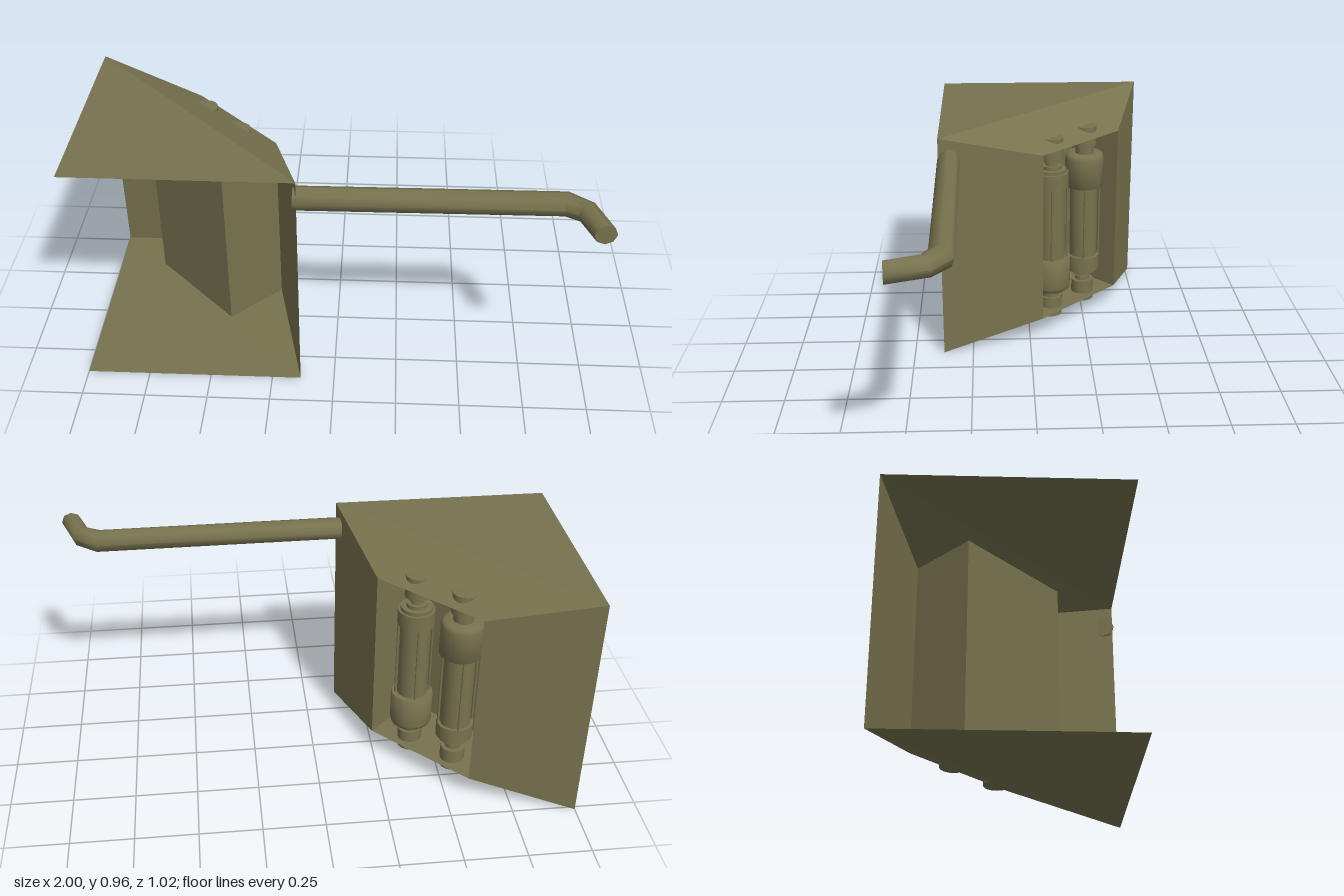
import * as THREE from 'three';
import { ParametricGeometry } from 'three/addons/geometries/ParametricGeometry.js';
import { toCreasedNormals } from 'three/addons/utils/BufferGeometryUtils.js';

const olive = new THREE.MeshStandardMaterial({ color: 0x77734f, side: THREE.DoubleSide });

function add(parent, name, geometry) {
  const mesh = new THREE.Mesh(geometry, olive);
  mesh.name = name;
  parent.add(mesh);
  return mesh;
}

// Flat panel from three or four corners
function panel(parent, name, ...c) {
  const order = c.length === 4 ? [0, 1, 2, 0, 2, 3] : [0, 1, 2];
  const g = new THREE.BufferGeometry();
  g.setAttribute('position', new THREE.Float32BufferAttribute(order.flatMap(i => c[i]), 3));
  g.computeVertexNormals();
  add(parent, name, g);
}

// Plan corners (x, z) of the housing: outer ends, mouth of the recess, back of the recess
const CORNER = [-1, 0.375], END_A = [-1, -0.515], END_B = [-0.135, 0.375];
const MOUTH_A = [-0.585, -0.4], MOUTH_B = [-0.245, -0.055];
const BACK_A = [-0.775, -0.21], BACK_B = [-0.44, 0.13];
const LOW = 0.1, HIGH = 0.85, TOP = 0.962;

function buildHousing() {
  const housing = new THREE.Group();
  housing.name = 'housing';
  const at = (p, y) => [p[0], y, p[1]];
  const wall = (name, p, q, pl, ph, ql, qh) =>
    panel(housing, name, at(p, pl), at(p, ph), at(q, qh), at(q, ql));

  // Triangular ends with the sloped faces running down to the recess
  panel(housing, 'topPlate', at(CORNER, TOP), at(END_B, TOP), at(END_A, TOP));
  panel(housing, 'bottomPlate', at(CORNER, 0), at(END_A, 0), at(END_B, 0));
  panel(housing, 'topSlope', at(END_A, TOP), at(END_B, TOP), at(MOUTH_B, HIGH), at(MOUTH_A, HIGH));
  panel(housing, 'bottomSlope', at(END_A, 0), at(MOUTH_A, LOW), at(MOUTH_B, LOW), at(END_B, 0));
  wall('sidePanelA', END_A, MOUTH_A, 0, TOP, LOW, HIGH);
  wall('sidePanelB', MOUTH_B, END_B, LOW, HIGH, 0, TOP);

  // Recess
  wall('recessSideA', MOUTH_A, BACK_A, LOW, HIGH, LOW, HIGH);
  wall('recessBack', BACK_A, BACK_B, LOW, HIGH, LOW, HIGH);
  wall('recessSideB', BACK_B, MOUTH_B, LOW, HIGH, LOW, HIGH);
  panel(housing, 'recessCeiling', at(MOUTH_A, HIGH), at(MOUTH_B, HIGH), at(BACK_B, HIGH), at(BACK_A, HIGH));
  panel(housing, 'recessFloor', at(MOUTH_A, LOW), at(BACK_A, LOW), at(BACK_B, LOW), at(MOUTH_B, LOW));
  return housing;
}

// Canister standing between floor and ceiling, centred on its own origin
function buildCanister() {
  const canister = new THREE.Group();
  canister.name = 'canister';
  const profile = [
    [0, 0.065], [0.05, 0.065], [0.05, 0.16], [0.032, 0.16], [0.032, 0.178], [0.026, 0.178],
    [0.026, 0.19], [0.042, 0.19], [0.042, 0.205], [0.064, 0.205], [0.064, 0.22], [0.074, 0.22],
    [0.074, 0.285], [0.061, 0.285], [0.061, 0.615], [0.083, 0.615], [0.085, 0.618], [0.085, 0.745],
    [0.081, 0.76], [0.072, 0.767], [0.04, 0.767], [0.04, 0.8], [0.05, 0.8], [0.05, 0.89], [0, 0.89],
  ].map(([r, y]) => new THREE.Vector2(r, y - 0.475));
  add(canister, 'canisterBody', toCreasedNormals(new THREE.LatheGeometry(profile, 24), 0.7));

  // Tie rods around the middle
  for (let i = 0; i < 4; i++) {
    const a = i * Math.PI / 2;
    const rod = add(canister, 'tieRod', new THREE.CylinderGeometry(0.005, 0.005, 0.34, 6));
    rod.position.set(0.069 * Math.cos(a), -0.025, 0.069 * Math.sin(a));
  }
  return canister;
}

// Bent pole: rings (x, z, radius, heading) along a path in the horizontal plane
function buildPole() {
  const pole = new THREE.Group();
  pole.name = 'pole';
  const y = 0.868;
  const rings = [
    [-0.15, 0.333, 0.046, 0], [0.838, 0.325, 0.046, 0.2],
    [0.907, 0.372, 0.042, 0.95], [0.955, 0.504, 0.041, 1.5],
  ];
  const tube = new ParametricGeometry((u, v, target) => {
    const [x, z, r, h] = rings[Math.round(v * (rings.length - 1))];
    const a = u * Math.PI * 2, side = r * Math.cos(a);
    target.set(x - side * Math.sin(h), y + r * Math.sin(a), z + side * Math.cos(h));
  }, 8, rings.length - 1);
  tube.computeVertexNormals();
  add(pole, 'poleTube', toCreasedNormals(tube, 0.9));

  // End caps
  for (const [index, turn] of [[0, Math.PI], [rings.length - 1, 0]]) {
    const [x, z, r, h] = rings[index];
    const cap = add(pole, 'poleCap', new THREE.CircleGeometry(r, 8));
    cap.position.set(x, y, z);
    cap.rotation.y = Math.PI / 2 - h + turn;
  }
  return pole;
}

export function createModel() {
  const model = new THREE.Group();
  model.name = 'cornerCabinet';
  model.add(buildHousing(), buildPole());

  // Two canisters, one upside down
  const upright = buildCanister();
  upright.position.set(-0.547, 0.475, -0.25);
  const inverted = buildCanister();
  inverted.position.set(-0.397, 0.475, -0.097);
  inverted.rotation.x = Math.PI;
  model.add(upright, inverted);
  return model;
}
